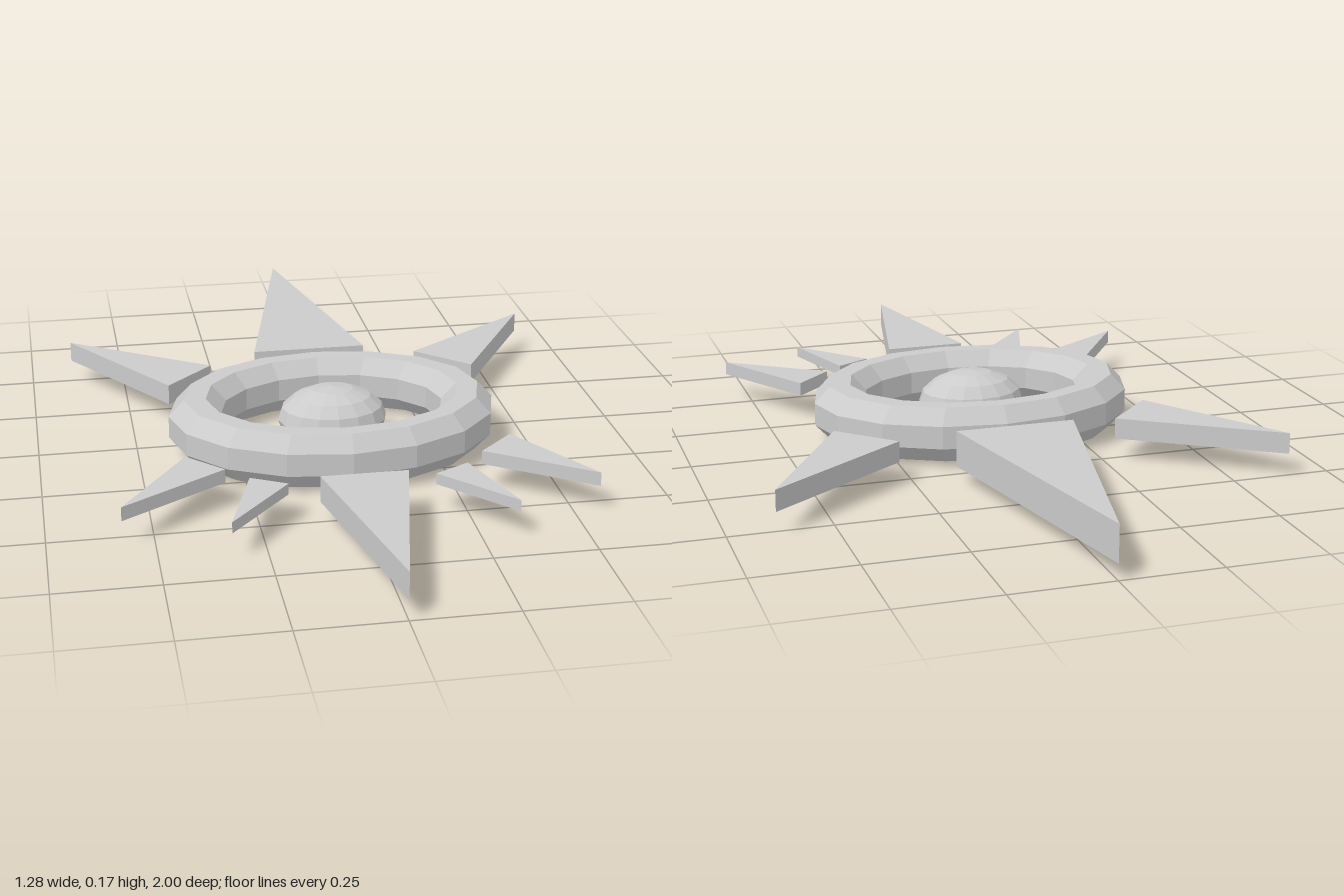
import * as THREE from 'three';

const CENTRE_Y = 0.085;
const RING_Z = 0.07;

export function createModel() {
  const model = new THREE.Group();
  const material = new THREE.MeshStandardMaterial({ color: 0xcccccc, flatShading: true });

  function add(name, geometry) {
    const mesh = new THREE.Mesh(geometry, material);
    mesh.name = name;
    model.add(mesh);
    return mesh;
  }

  // Oval ring: octagonal section swept in 16 steps, squashed along z
  const section = [];
  for (let i = 0; i <= 8; i++) {
    const a = ((i + 0.5) / 8) * Math.PI * 2;
    section.push(new THREE.Vector2(0.352 + 0.0725 * Math.cos(a), 0.076 * Math.sin(a)));
  }
  const ring = add('ring', new THREE.LatheGeometry(section, 16));
  ring.scale.z = 0.735;
  ring.position.set(-0.003, CENTRE_Y, RING_Z);

  // Flattened ball floating in the middle
  const core = add('core', new THREE.SphereGeometry(1, 16, 8));
  core.scale.set(0.14, 0.084, 0.11);
  core.position.set(-0.003, CENTRE_Y, RING_Z);

  // Flat triangular spikes: corners as [x, z], tip first, and thickness
  const spikes = [
    ['backSpike', [[0, -1], [-0.153, -0.3], [0.148, -0.3]], 0.09],
    ['frontSpike', [[0, 1], [-0.106, 0.497], [0.106, 0.497]], 0.066],
    ['backRightSpike', [[-0.642, -0.506], [-0.277, -0.268], [-0.402, -0.143]], 0.053],
    ['backLeftSpike', [[0.64, -0.527], [0.286, -0.28], [0.418, -0.155]], 0.053],
    ['frontRightSpike', [[-0.576, 0.552], [-0.403, 0.297], [-0.317, 0.386]], 0.035],
    ['frontLeftSpike', [[0.56, 0.557], [0.405, 0.297], [0.312, 0.386]], 0.035],
    ['smallRightSpike', [[-0.335, 0.664], [-0.265, 0.436], [-0.179, 0.483]], 0.028],
    ['smallLeftSpike', [[0.335, 0.664], [0.263, 0.439], [0.175, 0.487]], 0.028],
  ];
  for (const [name, corners, thickness] of spikes) {
    const shape = new THREE.Shape(corners.map(([x, z]) => new THREE.Vector2(x, -z)));
    const geometry = new THREE.ExtrudeGeometry(shape, { depth: thickness, bevelEnabled: false });
    geometry.rotateX(-Math.PI / 2);
    add(name, geometry).position.y = CENTRE_Y - thickness / 2;
  }

  return model;
}
